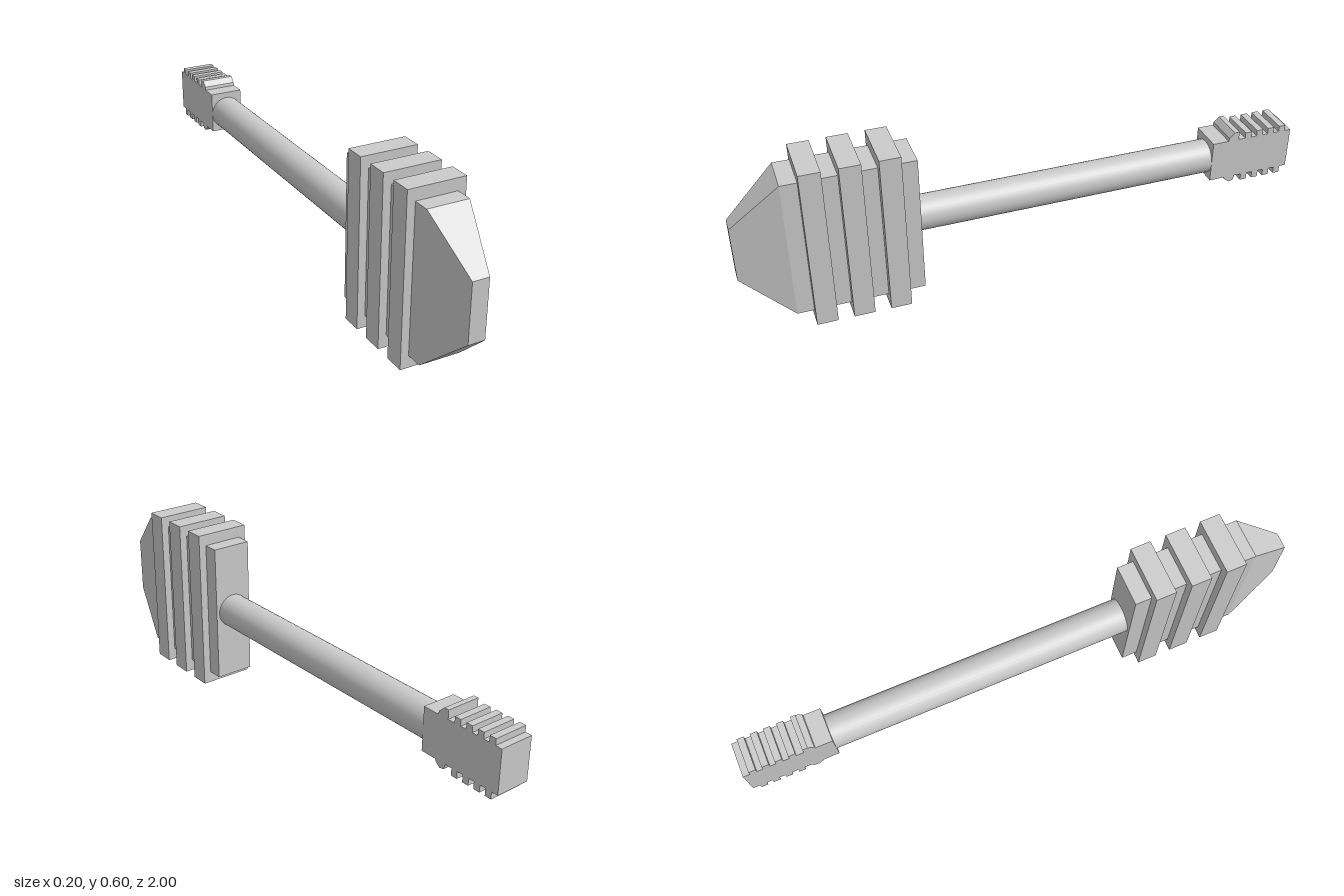
import * as THREE from 'three';

const material = new THREE.MeshStandardMaterial({ color: 0xcccccc });
const MID_Y = 0.298;

function addMesh(parent, name, geometry, x = 0, y = 0, z = 0) {
  const mesh = new THREE.Mesh(geometry, material);
  mesh.name = name;
  mesh.position.set(x, y, z);
  parent.add(mesh);
  return mesh;
}

// Box whose front (+z) face is scaled down to make a blunt wedge
function taperedBox(w, h, d, frontW, frontH) {
  const geometry = new THREE.BoxGeometry(w, h, d);
  const p = geometry.attributes.position;
  for (let i = 0; i < p.count; i++) {
    if (p.getZ(i) > 0) p.setXY(i, Math.sign(p.getX(i)) * frontW / 2, Math.sign(p.getY(i)) * frontH / 2);
  }
  const flat = geometry.toNonIndexed();
  flat.computeVertexNormals();
  return flat;
}

// Side outline of the grip: s runs backward (-z), with ridges above and below
function gripGeometry() {
  const low = 0.23, high = 0.383;
  const ridgeStarts = [0.816, 0.862, 0.907, 0.952];
  const ridge = 0.024;
  const top = [[0.69, high], [0.75, high], [0.752, 0.395], [0.772, 0.414], [0.79, 0.414], [0.79, high]];
  const bottom = [[0.69, low], [0.748, low], [0.75, 0.222], [0.768, 0.208], [0.785, 0.212], [0.79, low]];
  for (const s of ridgeStarts) {
    top.push([s, high], [s, 0.405], [s + ridge, 0.405], [s + ridge, high]);
    bottom.push([s, low], [s, 0.205], [s + ridge, 0.205], [s + ridge, low]);
  }
  top.push([1, high]);
  bottom.push([1, low]);
  const outline = [...bottom, ...top.reverse()].map(([s, y]) => new THREE.Vector2(s, y));
  const geometry = new THREE.ExtrudeGeometry(new THREE.Shape(outline), { depth: 0.122, bevelEnabled: false });
  geometry.translate(0, 0, -0.061);
  geometry.rotateY(Math.PI / 2);
  return geometry;
}

export function createModel() {
  const model = new THREE.Group();
  model.name = 'hammer';

  // Head: core block, blunt wedge and three raised bands
  const head = new THREE.Group();
  head.name = 'head';
  model.add(head);
  addMesh(head, 'headCore', new THREE.BoxGeometry(0.144, 0.511, 0.442), 0, MID_Y, 0.609);
  addMesh(head, 'headWedge', taperedBox(0.144, 0.511, 0.17, 0.058, 0.203), 0, MID_Y, 0.915);
  for (const z of [0.482, 0.61, 0.737]) {
    addMesh(head, 'headBand', new THREE.BoxGeometry(0.2, 0.595, 0.072), 0, 0.2975, z);
  }

  // Round shaft joining head and grip
  const shaft = new THREE.CylinderGeometry(0.061, 0.061, 1.1, 32);
  shaft.rotateX(Math.PI / 2);
  addMesh(model, 'shaft', shaft, 0, 0.301, -0.15);

  // Ridged grip
  addMesh(model, 'grip', gripGeometry());
  return model;
}
